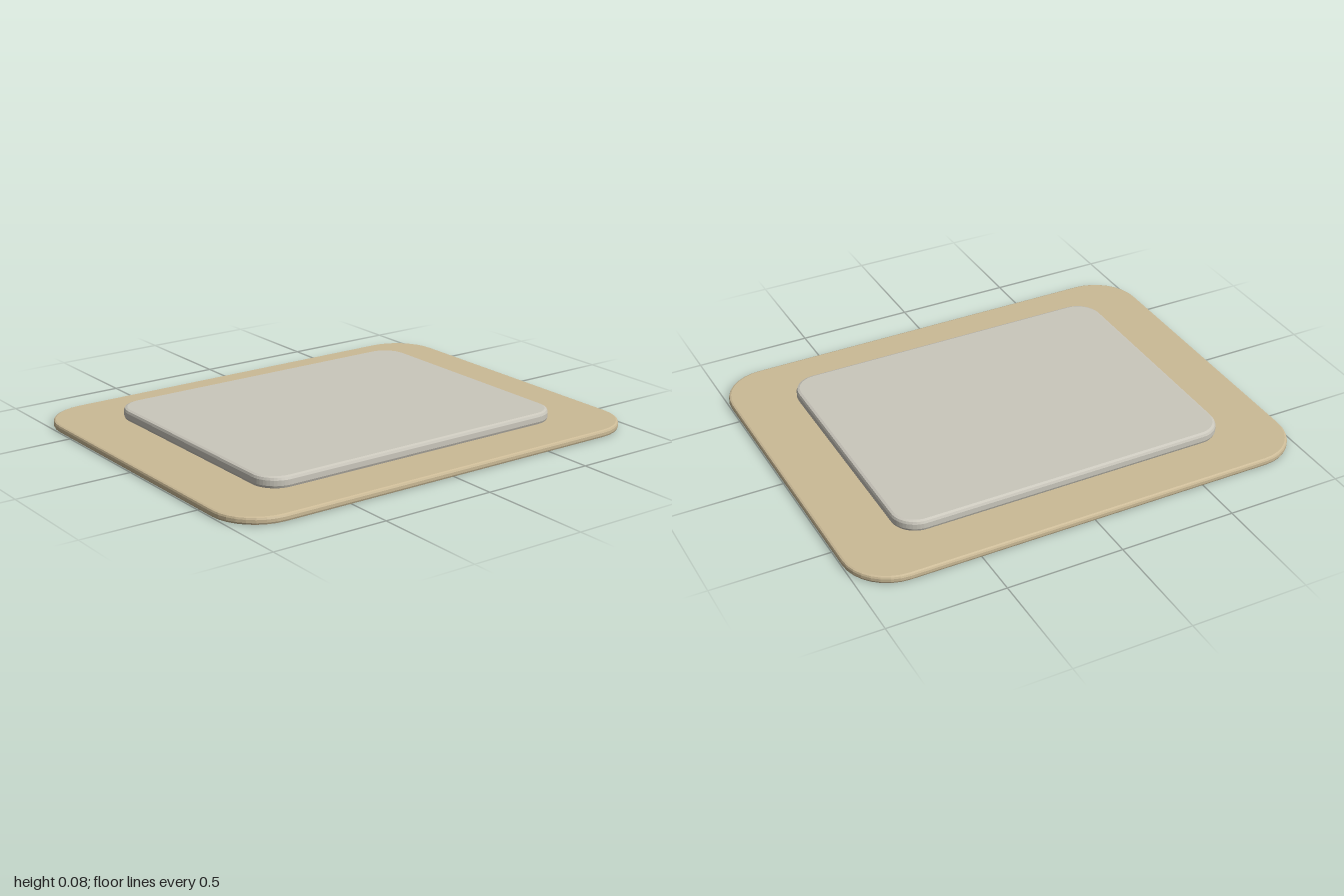
import * as THREE from 'three';

// Rounded rectangular slab, bevelled above and below, resting at height y
function slab(name, material, { width, depth, height, radius, bevel, steps, y }) {
  const w = width / 2 - bevel, d = depth / 2 - bevel, r = radius - bevel;
  const outline = new THREE.Shape();
  outline.absarc(w - r, d - r, r, 0, Math.PI / 2);
  outline.absarc(r - w, d - r, r, Math.PI / 2, Math.PI);
  outline.absarc(r - w, r - d, r, Math.PI, Math.PI * 1.5);
  outline.absarc(w - r, r - d, r, Math.PI * 1.5, Math.PI * 2);
  outline.closePath();
  const geometry = new THREE.ExtrudeGeometry(outline, {
    depth: height - 2 * bevel,
    bevelEnabled: true,
    bevelSize: bevel,
    bevelThickness: bevel,
    bevelSegments: 2,
    curveSegments: steps,
  });
  geometry.rotateX(-Math.PI / 2);
  geometry.translate(0, y + bevel, 0);
  const mesh = new THREE.Mesh(geometry, material);
  mesh.name = name;
  return mesh;
}

export function createModel() {
  const sand = new THREE.MeshStandardMaterial({ color: 0xcbba96 });
  sand.name = 'sand';
  const stone = new THREE.MeshStandardMaterial({ color: 0xcac7bc });
  stone.name = 'paleStone';

  const model = new THREE.Group();
  model.name = 'steppedSlab';
  // Thin wide base with a smaller raised slab on top
  model.add(
    slab('base', sand, { width: 2, depth: 1.59, height: 0.032, radius: 0.2, bevel: 0.01, steps: 4, y: 0 }),
    slab('raisedSlab', stone, { width: 1.48, depth: 1.165, height: 0.05, radius: 0.11, bevel: 0.014, steps: 6, y: 0.031 }),
  );
  return model;
}
